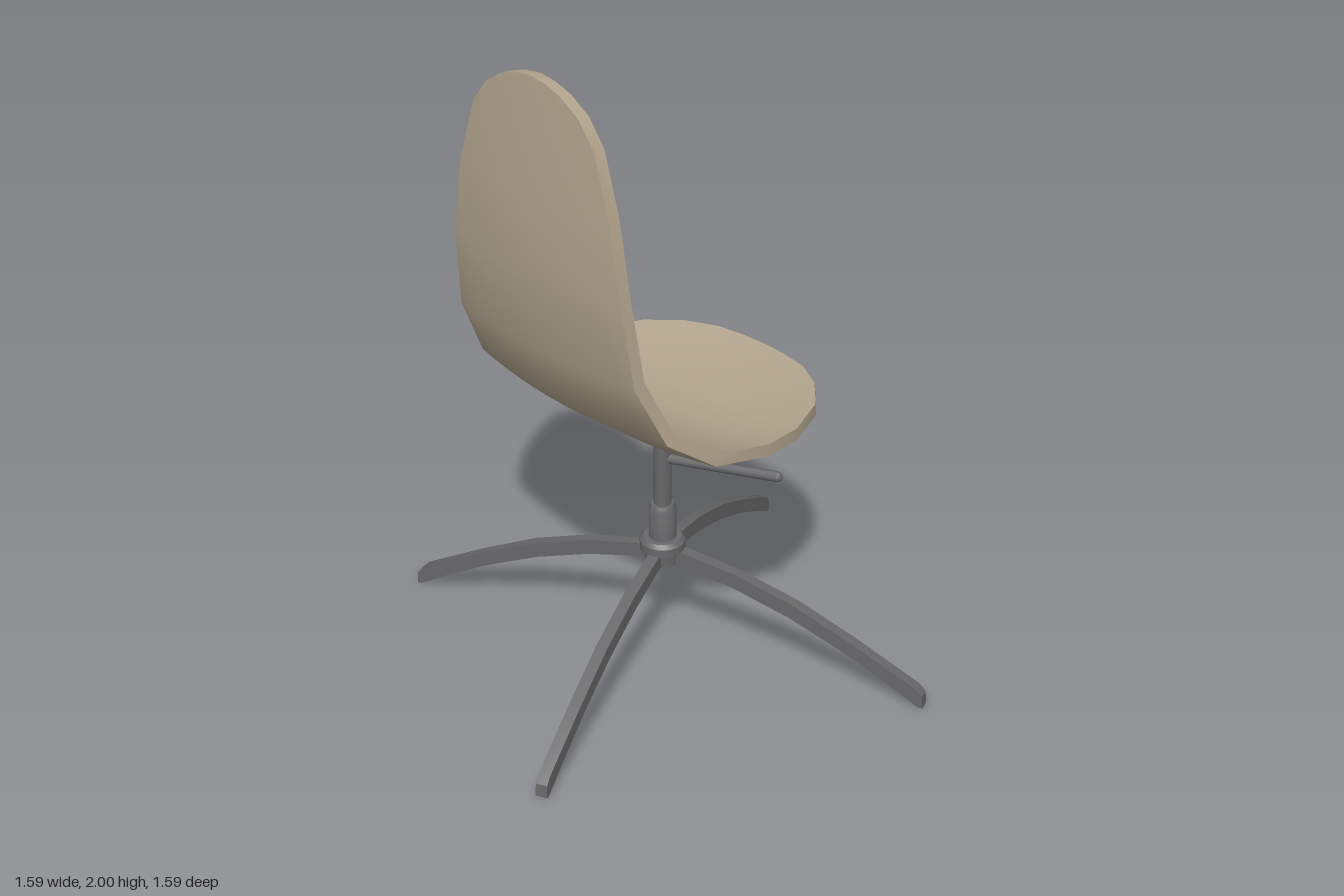
import * as THREE from 'three';
import { toCreasedNormals } from 'three/addons/utils/BufferGeometryUtils.js';

const tan = new THREE.MeshStandardMaterial({ color: 0xb3a58e });
const steel = new THREE.MeshStandardMaterial({ color: 0x68686a });

// Underside centre line from seat front to top of back: x, y, half width
const STATIONS = [
  [0.452, 0.835, 0], [0.446, 0.834, 0.09], [0.428, 0.831, 0.18], [0.375, 0.824, 0.28],
  [0.285, 0.81, 0.37], [0.14, 0.797, 0.43], [0, 0.797, 0.44], [-0.21, 0.845, 0.435],
  [-0.37, 0.97, 0.395], [-0.466, 1.18, 0.367], [-0.492, 1.44, 0.345], [-0.488, 1.67, 0.305],
  [-0.477, 1.855, 0.245], [-0.472, 1.93, 0.187], [-0.469, 1.972, 0.12], [-0.467, 1.992, 0.06],
  [-0.466, 2, 0],
];
const ACROSS = 12, THICK = 0.038, DISH = 0.22, Z_MID = -0.013;

// Point on the dished shell: station i, v from -1 to 1, lifted along the inner normal
function shellPoint(i, v, lift) {
  const [x, y, w] = STATIONS[i];
  const p = STATIONS[Math.max(i - 1, 0)], q = STATIONS[Math.min(i + 1, STATIONS.length - 1)];
  const n = new THREE.Vector2(q[1] - p[1], p[0] - q[0]).normalize();
  const z = v * w, d = lift + DISH * z * z;
  return [x + n.x * d, Math.min(y + n.y * d, 2), z + Z_MID];
}

// Smooth surface through rows of points
function gridGeometry(rows, flip) {
  const m = rows[0].length, index = [];
  for (let i = 0; i < rows.length - 1; i++) {
    for (let j = 0; j < m - 1; j++) {
      const a = i * m + j, b = a + m, c = a + 1, d = b + 1;
      index.push(...(flip ? [a, c, b, b, c, d] : [a, b, c, b, d, c]));
    }
  }
  const g = new THREE.BufferGeometry();
  g.setAttribute('position', new THREE.Float32BufferAttribute(rows.flat(2), 3));
  g.setIndex(index);
  g.computeVertexNormals();
  return g;
}

function mesh(name, geometry, material) {
  const m = new THREE.Mesh(geometry, material);
  m.name = name;
  return m;
}

function buildShell() {
  const shell = new THREE.Group();
  shell.name = 'seatShell';
  const face = (lift) => STATIONS.map((_, i) =>
    Array.from({ length: ACROSS + 1 }, (_, j) => shellPoint(i, (2 * j) / ACROSS - 1, lift)));
  shell.add(mesh('seatInside', gridGeometry(face(THICK), false), tan));
  shell.add(mesh('seatOutside', gridGeometry(face(0), true), tan));

  // Rim runs up one side and down the other
  const rim = [], last = STATIONS.length - 1;
  for (let k = 0; k <= 2 * last; k++) {
    const i = k <= last ? k : 2 * last - k, v = k <= last ? 1 : -1;
    rim.push([shellPoint(i, v, 0), shellPoint(i, v, THICK)]);
  }
  shell.add(mesh('seatRim', gridGeometry(rim, true), tan));
  return shell;
}

function turned(name, profile) {
  const g = new THREE.LatheGeometry(profile.map(([r, y]) => new THREE.Vector2(r, y)), 18);
  return mesh(name, toCreasedNormals(g, 0.6), steel);
}

// Arched leg: side outline extruded to its width
function legGeometry() {
  const top = [[0.02, 0.35], [0.07, 0.348], [0.25, 0.313], [0.44, 0.252], [0.63, 0.165], [0.83, 0.062], [0.85, 0.04], [0.853, 0]];
  const under = [[0.84, 0], [0.745, 0.055], [0.6, 0.13], [0.42, 0.208], [0.24, 0.265], [0.07, 0.302], [0.02, 0.305]];
  const shape = new THREE.Shape([...top, ...under].map(([x, y]) => new THREE.Vector2(x, y)));
  const g = new THREE.ExtrudeGeometry(shape, { depth: 0.036, bevelEnabled: false });
  g.translate(0, 0, -0.018);
  return toCreasedNormals(g, 0.5);
}

export function createModel() {
  const chair = new THREE.Group();
  chair.name = 'swivelChair';
  chair.add(buildShell());

  // Central column
  chair.add(turned('gasLift', [[0, 0.45], [0.027, 0.45], [0.027, 0.815], [0, 0.815]]));
  chair.add(turned('columnSleeve', [[0, 0.36], [0.042, 0.36], [0.042, 0.485], [0.035, 0.5], [0, 0.5]]));
  chair.add(turned('hub', [[0, 0.302], [0.055, 0.302], [0.058, 0.345], [0.07, 0.345], [0.07, 0.372], [0.06, 0.385], [0, 0.385]]));

  // Height lever
  const from = new THREE.Vector3(0.005, 0.657, 0.01), to = new THREE.Vector3(0.138, 0.685, 0.355);
  const lever = mesh('heightLever', new THREE.CapsuleGeometry(0.016, from.distanceTo(to) - 0.02, 4, 10), steel);
  lever.position.copy(from).lerp(to, 0.5);
  lever.quaternion.setFromUnitVectors(new THREE.Vector3(0, 1, 0), to.clone().sub(from).normalize());
  chair.add(lever);

  // Four legs
  const leg = legGeometry();
  for (let i = 0; i < 4; i++) {
    const m = mesh('leg' + (i + 1), leg, steel);
    m.rotation.y = 0.4 + (i * Math.PI) / 2;
    chair.add(m);
  }
  return chair;
}
